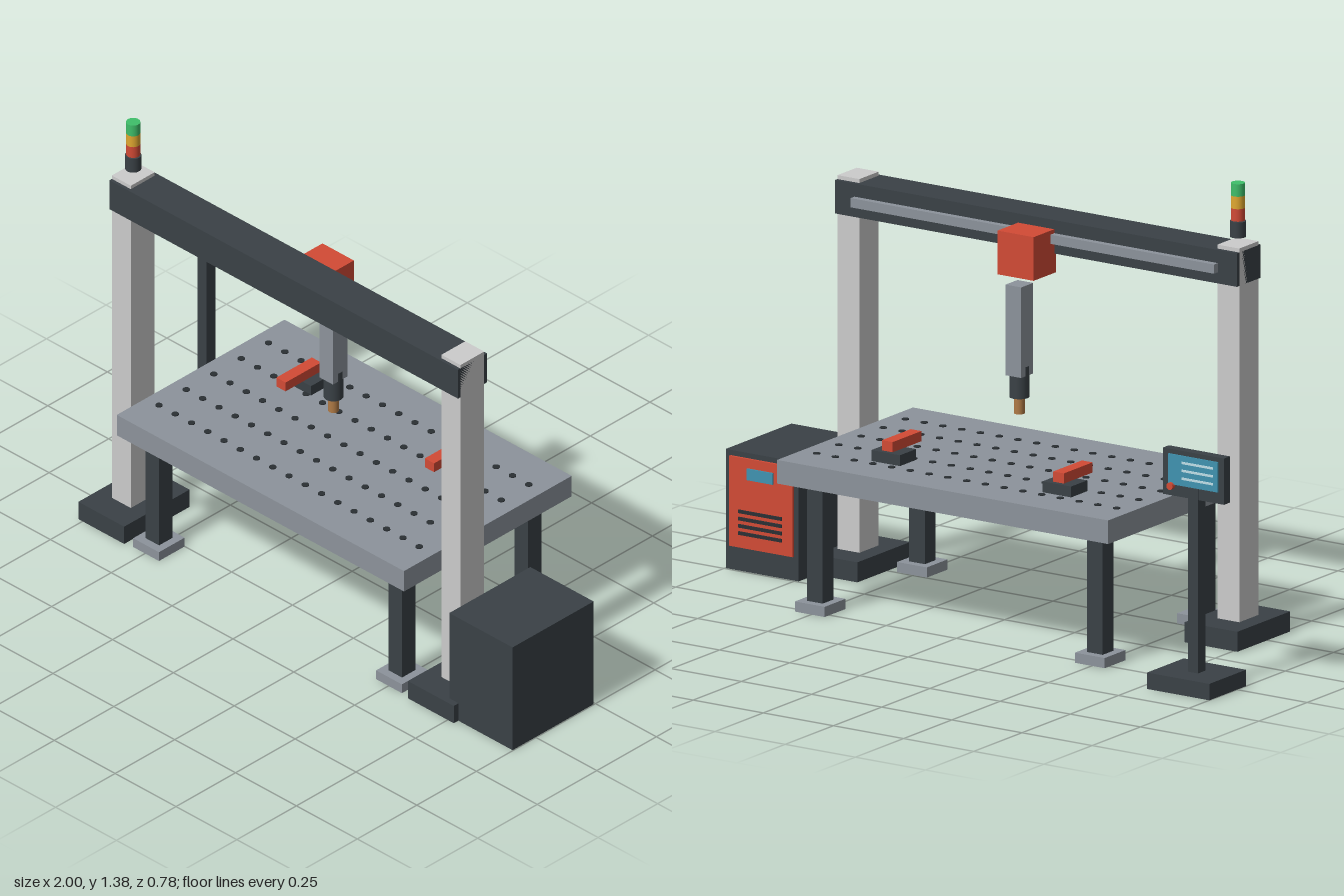
import * as THREE from 'three';

const mat = (color) => new THREE.MeshStandardMaterial({ color });

export function createModel() {
  const model = new THREE.Group();
  const dark = mat(0x3a4146), steel = mat(0x8c939b), pale = mat(0xc4c8c8), red = mat(0xd24a35);
  const green = mat(0x3fbf6a), amber = mat(0xe0a830), brass = mat(0xb07a45), cyan = mat(0x3f93b0);
  const black = mat(0x2a2f33), light = mat(0xbfdfe8);

  function add(name, geometry, material, x, y, z, parent) {
    const mesh = new THREE.Mesh(geometry, material);
    mesh.name = name;
    mesh.position.set(x, y, z);
    parent.add(mesh);
    return mesh;
  }
  // Box given by its extents on each axis
  function box(name, material, [x0, x1], [y0, y1], [z0, z1], parent = model) {
    return add(name, new THREE.BoxGeometry(x1 - x0, y1 - y0, z1 - z0), material,
      (x0 + x1) / 2, (y0 + y1) / 2, (z0 + z1) / 2, parent);
  }
  // Upright cylinder between two heights
  function cyl(name, material, r, x, [y0, y1], z, parent = model, sides = 24) {
    return add(name, new THREE.CylinderGeometry(r, r, y1 - y0, sides), material, x, (y0 + y1) / 2, z, parent);
  }
  const span = (c, w) => [c - w / 2, c + w / 2];
  function group(name) {
    const g = new THREE.Group();
    g.name = name;
    model.add(g);
    return g;
  }

  // Work table with legs and feet
  const table = group('workTable');
  box('tableTop', steel, [-0.585, 0.595], [0.393, 0.465], [-0.314, 0.39], table);
  for (const x of [-0.495, 0.503]) {
    for (const z of [-0.224, 0.305]) {
      box('tableLeg', dark, span(x, 0.056), [0, 0.393], span(z, 0.056), table);
      box('tableFoot', steel, span(x, 0.106), [0.001, 0.032], span(z, 0.108), table);
    }
  }
  // Grid of fixture holes
  const holes = group('fixtureHoles');
  for (let i = 0; i < 17; i++) {
    for (let j = 0; j < 5; j++) {
      cyl('fixtureHole', black, 0.011, -0.531 + i * 0.0668, [0.46, 0.468], -0.192 + j * 0.115, holes, 12);
    }
  }
  // Clamps
  for (const x of [-0.3, 0.31]) {
    const clamp = group('clamp');
    box('clampPad', dark, span(x, 0.102), [0.465, 0.498], [-0.166, -0.082], clamp);
    box('clampArm', red, span(x, 0.038), [0.5, 0.531], [-0.157, -0.008], clamp);
  }

  // Gantry: columns, beam and rail
  const gantry = group('gantry');
  for (const x of [-0.672, 0.682]) {
    box('column', pale, span(x, 0.078), [0, 1.2], [0.182, 0.282], gantry);
    box('columnBase', dark, span(x, 0.188), [0.001, 0.062], [0.092, 0.366], gantry);
  }
  box('beam', dark, [-0.711, 0.721], [1.086, 1.188], [0.17, 0.292], gantry);
  box('rail', steel, [-0.643, 0.652], [1.12, 1.148], [0.15, 0.171], gantry);

  // Carriage with vertical spindle
  const head = group('toolHead');
  box('carriage', red, [-0.06, 0.069], [1.027, 1.16], [0.063, 0.18], head);
  box('verticalArm', steel, span(0.004, 0.056), [0.728, 1.004], span(0.082, 0.062), head);
  cyl('spindle', dark, 0.0295, 0.004, [0.66, 0.756], 0.082, head);
  cyl('nozzle', brass, 0.016, 0.004, [0.61, 0.661], 0.082, head);

  // Signal tower
  const tower = group('signalTower');
  cyl('towerBase', dark, 0.024, -0.672, [1.22, 1.268], 0.232, tower);
  [red, amber, green].forEach((m, i) =>
    cyl('signalLight', m, 0.021, -0.672, [1.27 + i * 0.038, 1.308 + i * 0.038], 0.232, tower));

  // Control cabinet with its panel on the back
  const cabinet = group('controlCabinet');
  box('cabinetBody', dark, [0.738, 0.998], [0, 0.363], [0.006, 0.346], cabinet);
  box('cabinetPanel', red, [0.754, 0.98], [0.073, 0.347], [-0.003, 0.006], cabinet);
  box('cabinetDisplay', cyan, span(0.868, 0.092), [0.284, 0.319], [-0.008, -0.003], cabinet);
  for (let i = 0; i < 4; i++) {
    box('ventSlat', black, span(0.868, 0.155), span(0.118 + i * 0.022, 0.01), [-0.008, -0.003], cabinet);
  }

  // Operator stand with a screen facing the back
  const stand = group('operatorStand');
  box('standBase', dark, [-1, -0.778], [0, 0.05], [-0.393, -0.203], stand);
  box('standPost', dark, span(-0.889, 0.036), [0.05, 0.61], span(-0.298, 0.038), stand);
  box('screenHousing', dark, [-0.998, -0.781], [0.577, 0.718], [-0.314, -0.284], stand);
  box('screen', cyan, [-0.978, -0.801], [0.612, 0.704], [-0.318, -0.314], stand);
  for (let i = 0; i < 3; i++) {
    box('screenLine', light, [-0.962, -0.85], span(0.635 + i * 0.024, 0.007), [-0.32, -0.318], stand);
  }
  const button = cyl('stopButton', red, 0.011, -0.812, [0.6, 0.614], -0.32, stand, 16);
  button.rotation.x = Math.PI / 2;

  return model;
}
